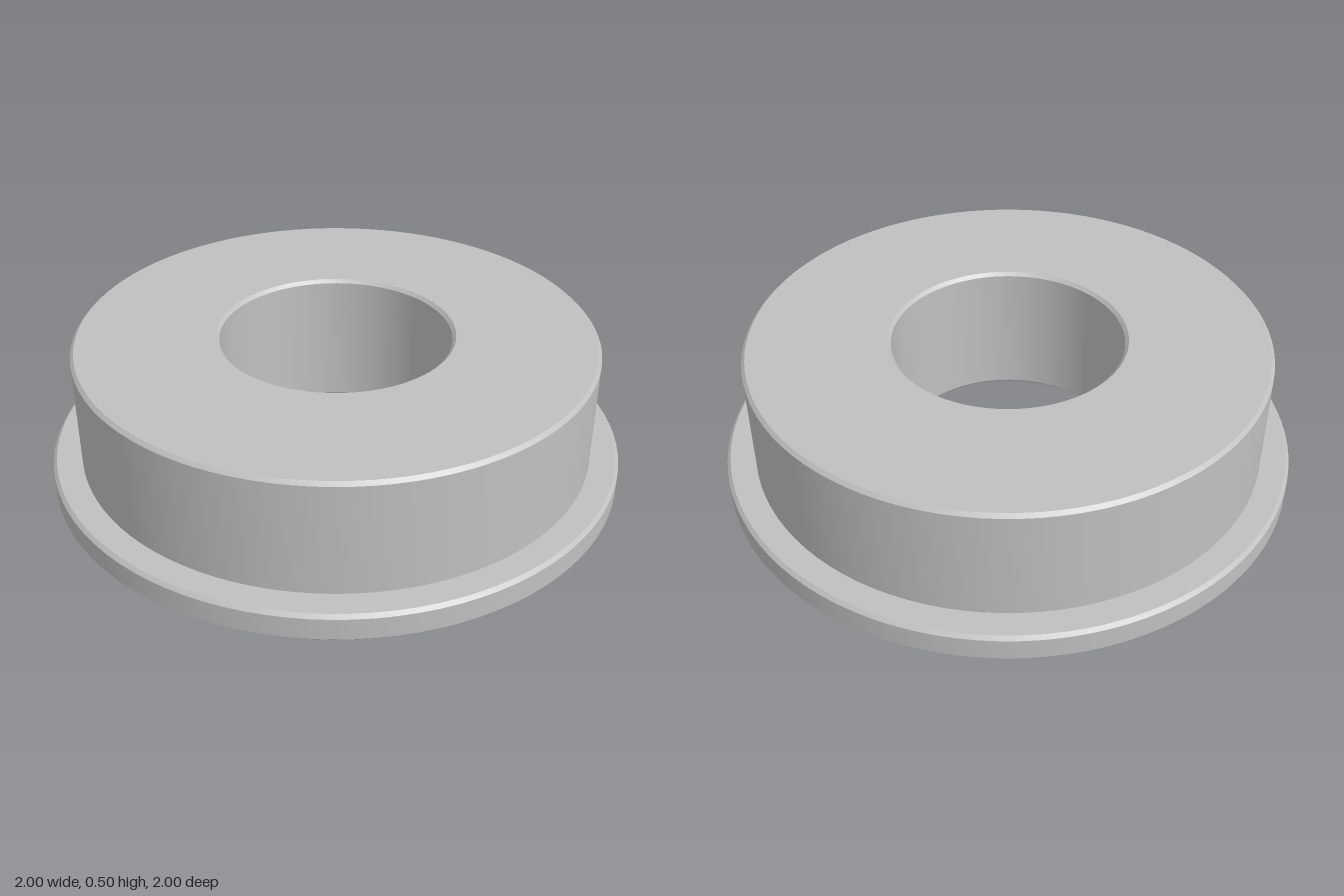
import * as THREE from 'three';
import { toCreasedNormals } from 'three/addons/utils/BufferGeometryUtils.js';

export function createModel() {
  const group = new THREE.Group();
  group.name = 'flangedBushing';

  const steel = new THREE.MeshStandardMaterial({ color: 0xc0c0c0 });
  steel.name = 'steelGrey';

  const bore = 0.4, body = 0.9, flange = 1, flangeTop = 0.1, top = 0.5;
  const c = 0.012; // chamfer on every outer edge

  // Closed cross-section, from the underside outwards, up and back down the bore
  const profile = [
    [bore + c, 0], [flange - c, 0], [flange, c],
    [flange, flangeTop - c], [flange - c, flangeTop], [body, flangeTop],
    [body, top - c], [body - c, top],
    [bore + c, top], [bore, top - c], [bore, c], [bore + c, 0],
  ].map(([r, y]) => new THREE.Vector2(r, y));

  // Round walls stay smooth, chamfers and rims stay sharp
  const geometry = toCreasedNormals(new THREE.LatheGeometry(profile, 96), 0.5);
  const ring = new THREE.Mesh(geometry, steel);
  ring.name = 'flangedRing';
  group.add(ring);

  return group;
}
